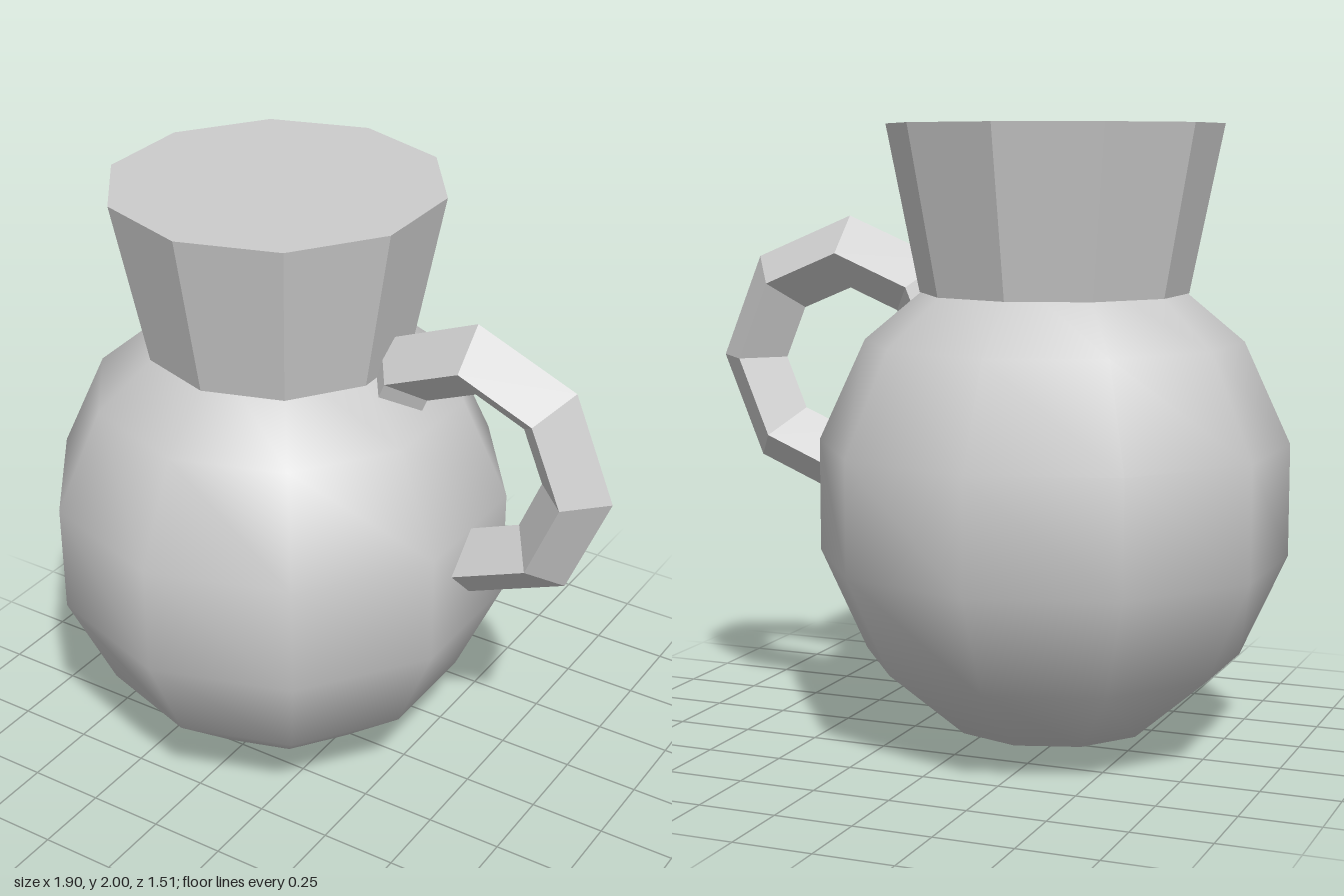
import * as THREE from 'three';

const AXIS_X = -0.238; // centre line of the vessel

export function createModel() {
  const group = new THREE.Group();
  const clay = new THREE.MeshStandardMaterial({ color: 0xcccccc });
  clay.name = 'clay grey';
  const facetedClay = clay.clone();
  facetedClay.flatShading = true;

  const add = (name, geometry, material, x, y) => {
    const mesh = new THREE.Mesh(geometry, material);
    mesh.name = name;
    mesh.position.set(x, y, 0);
    group.add(mesh);
    return mesh;
  };

  // Round body: smooth low-poly sphere, slightly tall, corners on the z axis
  const ball = new THREE.SphereGeometry(0.772, 10, 7);
  ball.rotateY(Math.PI / 2);
  ball.scale(1, 1.05, 1);
  add('body', ball, clay, AXIS_X, 0.813);

  // Flared, closed neck
  add('neck', new THREE.CylinderGeometry(0.533, 0.427, 0.53, 10), facetedClay, AXIS_X, 1.735);

  // Ring handle with a diamond cross-section, sunk into body and neck
  add('handle', new THREE.TorusGeometry(0.356, 0.118, 4, 8), facetedClay, 0.476, 1.23);

  return group;
}
